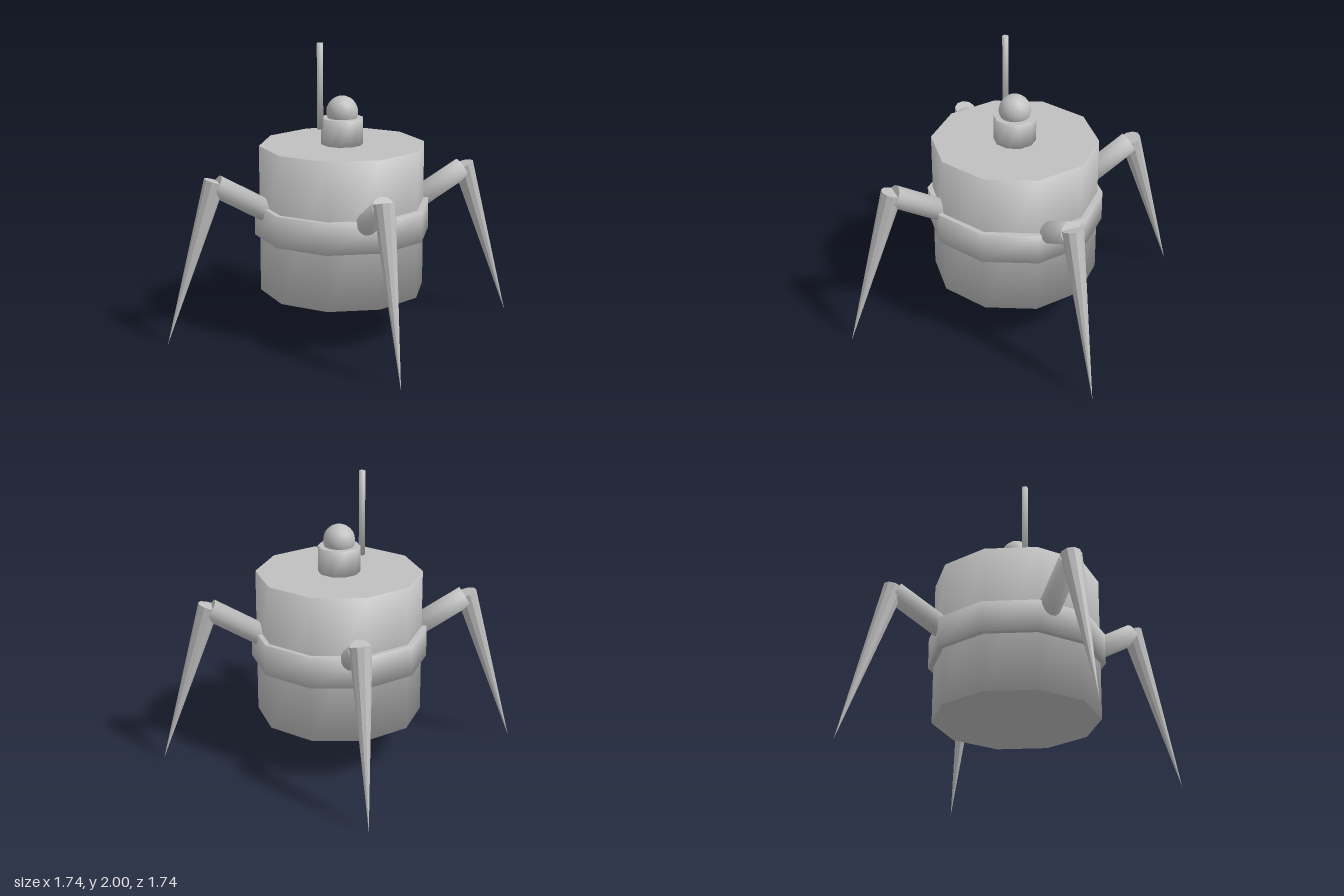
import * as THREE from 'three';

export function createModel() {
  const model = new THREE.Group();
  model.name = 'walkerRobot';

  const grey = new THREE.MeshStandardMaterial({ color: 0xc0c0c0 });
  grey.name = 'grey';
  const greyFaceted = grey.clone();
  greyFaceted.flatShading = true;

  function add(name, geometry, material = grey, parent = model) {
    const mesh = new THREE.Mesh(geometry, material);
    mesh.name = name;
    parent.add(mesh);
    return mesh;
  }

  // Closed prism whose side normals lean towards its ends, for soft shading
  function softPrism(radius, height, sides) {
    const g = new THREE.CylinderGeometry(radius, radius, height, sides, 1, false, Math.PI / 2);
    const n = g.attributes.normal;
    const v = new THREE.Vector3();
    for (let i = 0; i < 2 * (sides + 1); i++) {
      v.fromBufferAttribute(n, i);
      v.y = g.attributes.position.getY(i) > 0 ? 0.8 : -0.8;
      v.normalize();
      n.setXYZ(i, v.x, v.y, v.z);
    }
    return g;
  }

  function column(name, radius, bottom, top, sides, x = 0, z = 0) {
    add(name, softPrism(radius, top - bottom, sides)).position.set(x, (bottom + top) / 2, z);
  }

  // Ten-sided body with a raised belt, neck, head and aerial
  column('body', 0.565, 0.3, 1.31, 10);
  column('belt', 0.6, 0.695, 0.91, 10);
  column('neck', 0.143, 1.3, 1.49, 10);
  add('head', new THREE.SphereGeometry(0.108, 16, 12)).position.y = 1.53;
  column('aerial', 0.021, 1.42, 2, 12, -0.11, 0.108);

  // Place a geometry built along y so that it runs from one point to another
  const up = new THREE.Vector3(0, 1, 0);
  function span(mesh, from, to) {
    mesh.position.copy(from).add(to).multiplyScalar(0.5);
    mesh.quaternion.setFromUnitVectors(up, to.clone().sub(from).normalize());
  }

  // Four legs, one on each diagonal
  const names = ['frontLeft', 'frontRight', 'backLeft', 'backRight'];
  names.forEach((name, i) => {
    const sx = i % 2 ? -1 : 1;
    const sz = i < 2 ? 1 : -1;
    const at = (d, y) => new THREE.Vector3(sx * d, y, sz * d);
    const leg = new THREE.Group();
    leg.name = name + 'Leg';
    model.add(leg);

    const hip = at(0.32, 0.835);
    const knee = at(0.62, 1.08);
    span(add('upperLeg', softPrism(0.075, hip.distanceTo(knee), 16), grey, leg), hip, knee);

    const top = at(0.625, 1.11);
    const tip = at(0.87, 0);
    span(add('lowerLeg', new THREE.ConeGeometry(0.073, top.distanceTo(tip), 10), greyFaceted, leg), top, tip);
  });

  return model;
}
